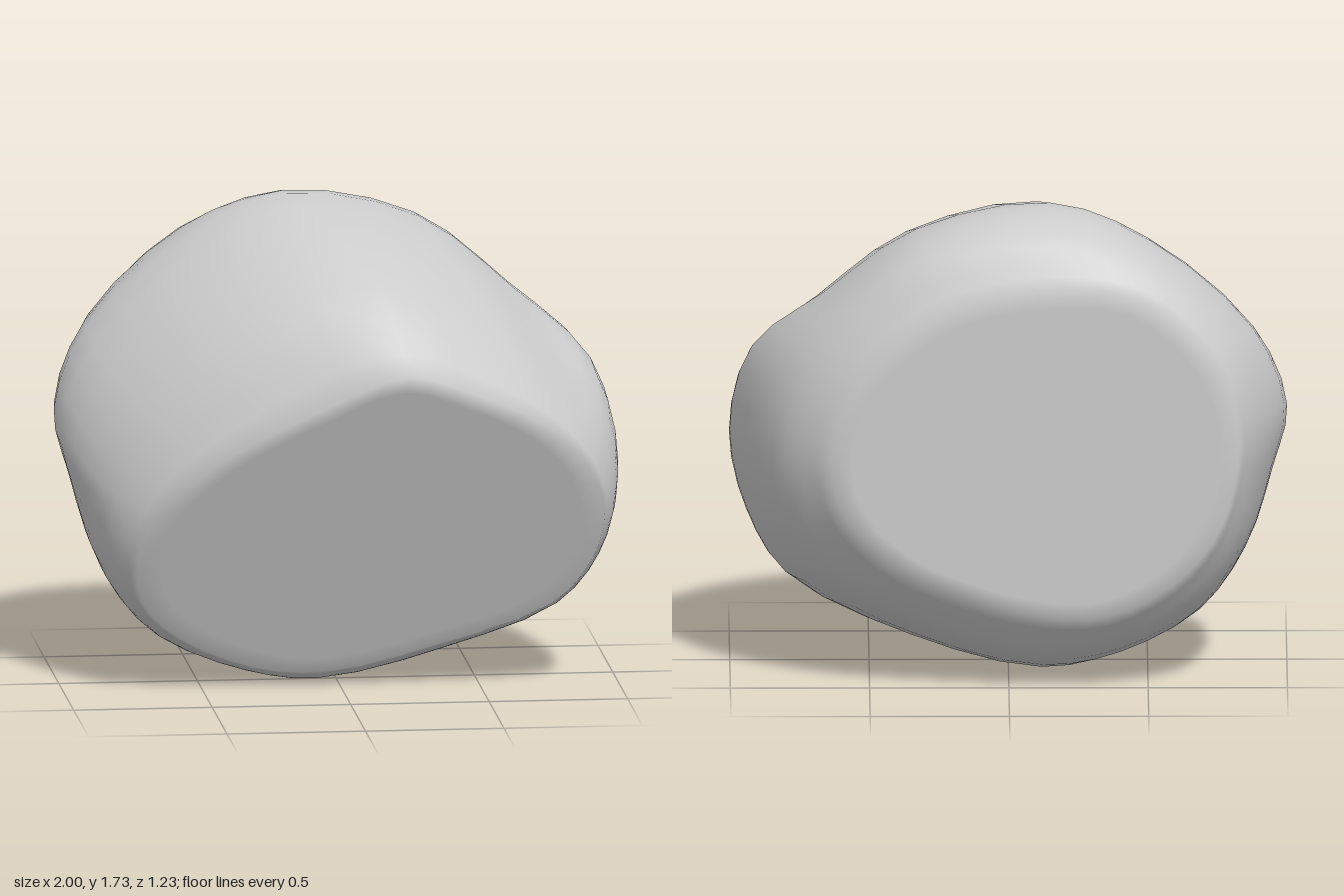
import * as THREE from 'three';

const AROUND = 48; // vertices per ring
const ALONG = 16;  // bands from front facet to back facet

// Outlines run clockwise as seen from the front, starting at the top.
// Sloping front facet (x, y, roundness of the flank behind it)
const FRONT = [
  [0.2, 1.21, 0.12], [0.46, 1.13, 0.1], [0.7, 1.01, 0.08], [0.87, 0.84, 0.06],
  [0.93, 0.66, 0.07], [0.89, 0.47, 0.09], [0.75, 0.3, 0.09], [0.35, 0.15, 0.09],
  [-0.05, 0.05, 0.09], [-0.3, 0.07, 0.09], [-0.58, 0.19, 0.09], [-0.72, 0.33, 0.09],
  [-0.75, 0.5, 0.09], [-0.68, 0.68, 0.11], [-0.46, 0.89, 0.14], [-0.1, 1.09, 0.16],
];
// Widest girth (x, y, z)
const GIRTH = [
  [-0.15, 1.725, -0.25], [0.33, 1.63, -0.25], [0.66, 1.38, -0.15], [0.92, 1.15, 0],
  [1.0, 0.83, 0.1], [0.94, 0.54, 0.1], [0.8, 0.31, 0.05], [0.4, 0.12, 0],
  [-0.1, 0, -0.1], [-0.37, 0.06, -0.1], [-0.68, 0.2, -0.05], [-0.85, 0.43, -0.1],
  [-0.95, 0.74, -0.15], [-1.0, 0.97, -0.17], [-0.88, 1.26, -0.2], [-0.5, 1.59, -0.22],
];
// Upright back facet (x, y, roundness of the flank before it)
const BACK = [
  [-0.12, 1.47, 0.24], [0.2, 1.4, 0.26], [0.43, 1.25, 0.2], [0.58, 1.05, 0.15],
  [0.64, 0.84, 0.12], [0.58, 0.63, 0.12], [0.4, 0.46, 0.13], [0.15, 0.35, 0.15],
  [-0.12, 0.28, 0.17], [-0.35, 0.28, 0.16], [-0.58, 0.39, 0.12], [-0.73, 0.55, 0.08],
  [-0.81, 0.76, 0.05], [-0.82, 0.99, 0.05], [-0.72, 1.24, 0.1], [-0.46, 1.45, 0.17],
];

const closedRing = (points) => new THREE.CatmullRomCurve3(
  points.map((p) => new THREE.Vector3(...p)), true, 'centripetal');

// Point between two outlines, pushed outward to round the flank
function bulge(a, b, t, push) {
  const p = a.clone().lerp(b, t);
  const out = new THREE.Vector3(p.x, p.y - 0.85, 0).normalize();
  return p.addScaledVector(out, push * a.distanceTo(b));
}

function stoneGeometry() {
  const front = closedRing(FRONT), girth = closedRing(GIRTH), back = closedRing(BACK);

  const rings = Array.from({ length: ALONG + 1 }, () => []);
  for (let j = 0; j < AROUND; j++) {
    const t = j / AROUND;
    const f = front.getPoint(t), g = girth.getPoint(t), b = back.getPoint(t);
    const frontPush = f.z, backPush = b.z;
    f.z = 0.615 - (1.21 - f.y) * 0.41;
    b.z = -0.615;
    const rib = new THREE.CatmullRomCurve3(
      [f, bulge(f, g, 0.3, frontPush), g, bulge(g, b, 0.68, backPush), b],
      false, 'centripetal');
    rings.forEach((ring, i) => ring.push(rib.getPoint(i / ALONG)));
  }

  // Flat facets: an inset ring and a centre at each end
  const centre = (ring) =>
    ring.reduce((sum, p) => sum.add(p), new THREE.Vector3()).divideScalar(AROUND);
  const inset = (ring, k) => {
    const c = centre(ring);
    return ring.map((p) => p.clone().lerp(c, k));
  };
  const first = rings[0], last = rings[ALONG];
  rings.unshift(inset(first, 0.1));
  rings.push(inset(last, 0.1));

  const positions = rings.flat().flatMap((p) => p.toArray());
  const frontCentre = rings.length * AROUND, backCentre = frontCentre + 1;
  positions.push(...centre(first).toArray(), ...centre(last).toArray());

  const index = [];
  const end = (rings.length - 1) * AROUND;
  for (let j = 0; j < AROUND; j++) {
    const k = (j + 1) % AROUND;
    for (let r = 0; r < end; r += AROUND) {
      const a = r + j, b = r + k, c = a + AROUND, d = b + AROUND;
      index.push(a, b, c, b, d, c);
    }
    index.push(frontCentre, k, j, backCentre, end + j, end + k);
  }

  const geometry = new THREE.BufferGeometry();
  geometry.setAttribute('position', new THREE.Float32BufferAttribute(positions, 3));
  geometry.setIndex(index);
  geometry.computeVertexNormals();
  return geometry;
}

export function createModel() {
  const group = new THREE.Group();
  group.name = 'boulder';
  const stone = new THREE.Mesh(
    stoneGeometry(), new THREE.MeshStandardMaterial({ color: 0xcccccc }));
  stone.name = 'stone';
  group.add(stone);
  return group;
}
